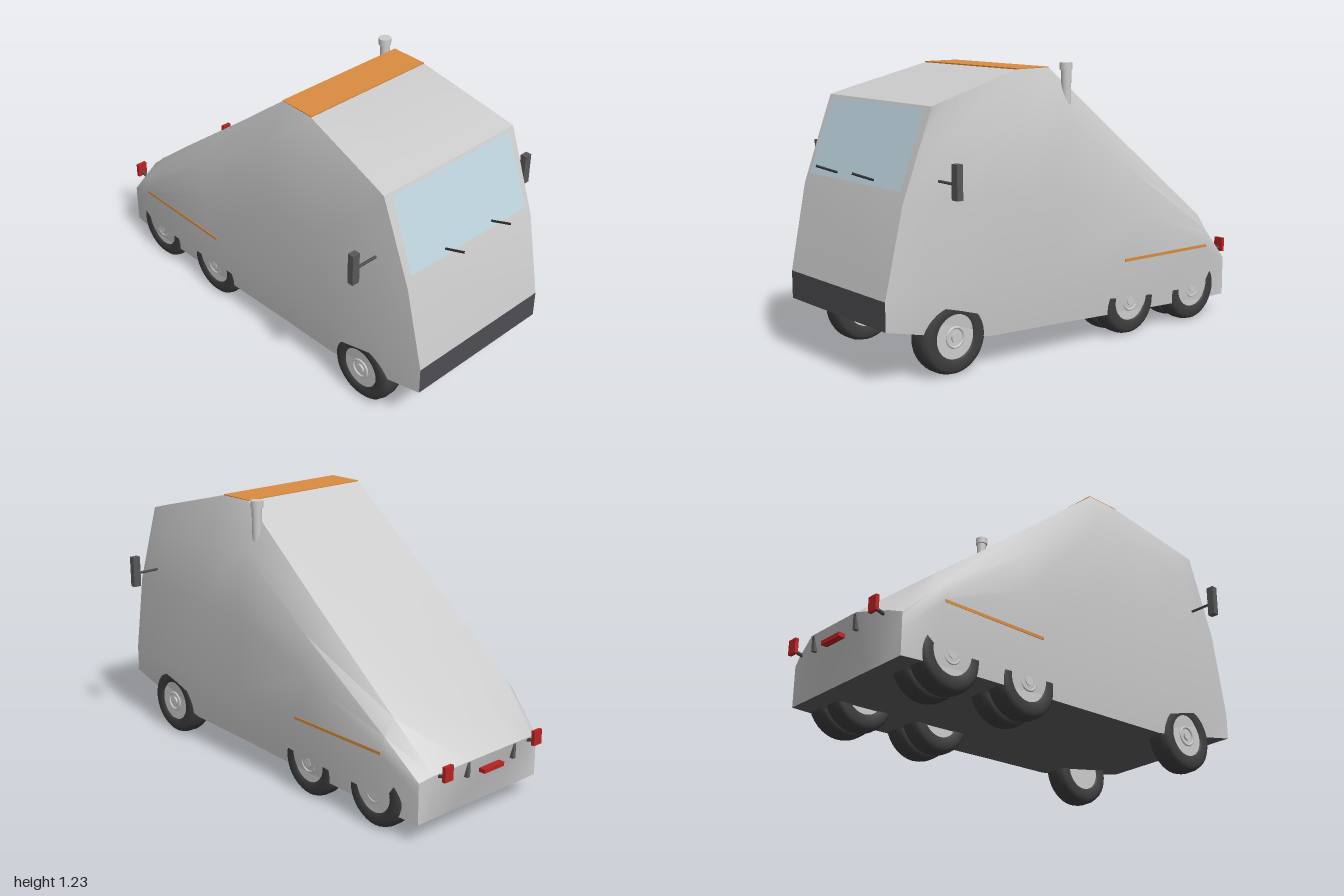
import * as THREE from 'three';
import { toCreasedNormals } from 'three/addons/utils/BufferGeometryUtils.js';

const mat = (color, side = THREE.FrontSide) => new THREE.MeshStandardMaterial({ color, side });

// Half cross-sections front to back: underside, belt, flank, shoulder, roof edge, crown
const stations = [
  [[.36, .23, 1], [.36, .35, 1], [.37, .72, .92], [.373, .96, .83], [.375, 1.09, .78], [.15, 1.09, .78]],
  [[.368, .19, .82], [.387, .35, .82], [.39, .72, .77], [.39, .97, .71], [.365, 1.115, .69], [.15, 1.115, .69]],
  [[.372, .13, .5], [.397, .35, .5], [.4, .72, .42], [.393, 1, .33], [.325, 1.21, .32], [.15, 1.21, .32]],
  [[.372, .12, .15], [.4, .35, .15], [.4, .72, .14], [.393, 1.02, .11], [.325, 1.212, .15], [.15, 1.212, .15]],
  [[.375, .105, -.3], [.403, .35, -.3], [.403, .55, -.3], [.396, .73, -.3], [.335, .85, -.3], [.15, .855, -.3]],
  [[.375, .09, -.76], [.405, .34, -.76], [.405, .37, -.76], [.392, .42, -.76], [.34, .485, -.76], [.15, .495, -.76]],
  [[.36, .085, -.92], [.36, .2, -.92], [.36, .245, -.92], [.36, .265, -.92], [.3, .285, -.94], [.15, .315, -.985]],
];

const mirror = ([x, y, z]) => [-x, y, z];

// Turn a list of quads into a mesh with soft curves and sharp edges
function quadMesh(quads, color, name) {
  const pos = [];
  for (const [a, b, c, d] of quads) for (const p of [a, b, c, a, c, d]) pos.push(...p);
  const geo = new THREE.BufferGeometry();
  geo.setAttribute('position', new THREE.Float32BufferAttribute(pos, 3));
  const mesh = new THREE.Mesh(toCreasedNormals(geo, 0.6), mat(color));
  mesh.name = name;
  return mesh;
}

function add(parent, name, geo, color, x = 0, y = 0, z = 0) {
  const mesh = new THREE.Mesh(geo, mat(color));
  mesh.name = name;
  mesh.position.set(x, y, z);
  parent.add(mesh);
  return mesh;
}

// Round bar between two points
function bar(parent, name, from, to, radius, color) {
  const curve = new THREE.LineCurve3(new THREE.Vector3(...from), new THREE.Vector3(...to));
  return add(parent, name, new THREE.TubeGeometry(curve, 1, radius, 8), color);
}

function buildBody(group) {
  const shell = [], floor = [];
  const rings = stations.map(s => [...s, ...s.slice().reverse().map(mirror)]);
  for (let i = 0; i < rings.length - 1; i++) {
    const A = rings[i], B = rings[i + 1], n = A.length;
    for (let j = 0; j < n; j++) {
      const k = (j + 1) % n;
      (k === 0 ? floor : shell).push([A[j], B[j], B[k], A[k]]);
    }
  }
  // Front face, the lowest strip being the bumper
  const front = stations[0];
  const strip = k => [front[k], front[k + 1], mirror(front[k + 1]), mirror(front[k])];
  for (let k = 1; k < 4; k++) shell.push(strip(k));
  // Bowed rear face in upright strips
  const rear = stations[stations.length - 1];
  const top = [rear[3], rear[4], rear[5], mirror(rear[5]), mirror(rear[4]), mirror(rear[3])];
  const low = top.map(p => [p[0], .085, -.92]);
  for (let i = 0; i < 5; i++) shell.push([low[i], low[i + 1], top[i + 1], top[i]]);

  group.add(quadMesh(shell, 0xcccccc, 'bodyShell'));
  group.add(quadMesh(floor, 0x5a5a5a, 'underside'));
  group.add(quadMesh([strip(0)], 0x4f4f53, 'frontBumper'));

  // Windscreen lying just proud of the raked front
  group.add(quadMesh([[[.34, .765, .909], [.34, 1.08, .79], [-.34, 1.08, .79], [-.34, .765, .909]]],
    0xbdd3dd, 'windscreen'));
  add(group, 'roofStripe', new THREE.BoxGeometry(.648, .006, .172), 0xd98c40, 0, 1.212, .235);
}

function buildWheel(x, z, radius, width, side) {
  const wheel = new THREE.Group();
  wheel.name = 'wheel';
  const h = width / 2, r = radius;
  const profile = [[r * .55, -h * .8], [r * .62, -h], [r * .86, -h], [r * .96, -h * .75], [r, -h * .35],
    [r, h * .35], [r * .96, h * .75], [r * .86, h], [r * .62, h], [r * .55, h * .8]]
    .map(p => new THREE.Vector2(...p));
  add(wheel, 'tyre', new THREE.LatheGeometry(profile, 36), 0x3d3d3d);
  add(wheel, 'rim', new THREE.CylinderGeometry(r * .6, r * .6, width * .86, 32), 0xcccccc);
  const ring = add(wheel, 'hubRing', new THREE.TorusGeometry(r * .26, r * .035, 8, 24), 0xcccccc, 0, h * .88, 0);
  ring.rotation.x = Math.PI / 2;
  add(wheel, 'hubCap', new THREE.CylinderGeometry(r * .13, r * .13, .012, 16), 0xcccccc, 0, h * .9, 0);
  wheel.rotation.z = -side * Math.PI / 2;
  wheel.position.set(side * x, radius, z);
  return wheel;
}

export function createModel() {
  const model = new THREE.Group();
  model.name = 'van';
  buildBody(model);

  for (const side of [1, -1]) {
    // Single front wheels and paired wheels on two rear axles
    model.add(buildWheel(.327, .68, .158, .11, side));
    for (const z of [-.29, -.69]) {
      model.add(buildWheel(.33, z, .153, .105, side));
      model.add(buildWheel(.223, z, .153, .1, side));
    }
    // Door mirrors
    bar(model, 'mirrorArm', [side * .38, .8, .76], [side * .5, .8, .76], .006, 0x4a4a4c);
    add(model, 'mirror', new THREE.BoxGeometry(.036, .14, .028), 0x58585a, side * .51, .81, .762);
    // Wipers
    bar(model, 'wiper', [side * .138, .785, .89], [side * .138, .825, 1], .005, 0x333335);
    // Side stripes
    add(model, 'sideStripe', new THREE.BoxGeometry(.01, .013, .52), 0xd98c40, side * .401, .35, -.49);
    // Tail lights and rear hinges
    add(model, 'tailLight', new THREE.BoxGeometry(.048, .065, .016), 0xb82222, side * .272, .305, -.991);
    bar(model, 'tailLightMount', [side * .272, .275, -.93], [side * .272, .29, -.987], .008, 0x4a4a4c);
    add(model, 'rearHinge', new THREE.BoxGeometry(.016, .07, .02), 0x5a5a5c, side * .14, .28, -.974);
  }
  add(model, 'rearLamp', new THREE.BoxGeometry(.12, .018, .03), 0xb82222, 0, .25, -.983);

  // Exhaust stack
  add(model, 'exhaustPipe', new THREE.CylinderGeometry(.022, .02, .2, 20), 0xcccccc, .345, 1.11, .07);
  add(model, 'exhaustCap', new THREE.CylinderGeometry(.028, .028, .03, 20), 0xcccccc, .343, 1.215, .07);
  return model;
}
